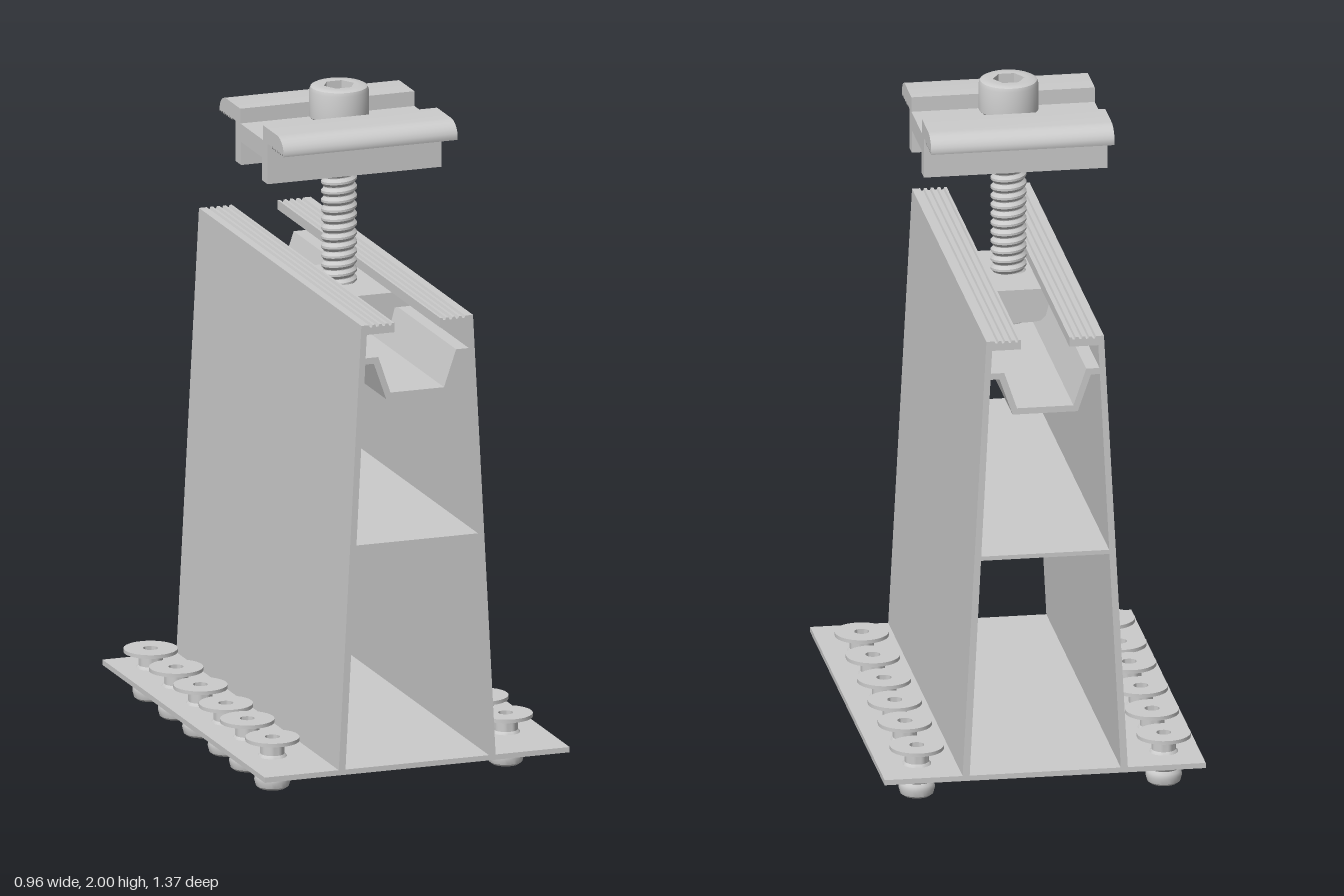
import * as THREE from 'three';
import { toCreasedNormals } from 'three/addons/utils/BufferGeometryUtils.js';

const material = new THREE.MeshStandardMaterial({ color: 0xcccccc, side: THREE.DoubleSide });
const LENGTH = 1.37;
const BOLT_X = -0.01, BOLT_Z = 0.052;
const v2 = ([x, y]) => new THREE.Vector2(x, y);
const shapeOf = (pts) => new THREE.Shape(pts.map(v2));

function mesh(name, geometry, parent) {
  const m = new THREE.Mesh(geometry, material);
  m.name = name;
  parent.add(m);
  return m;
}

// Extrusion centred along z
function extrude(shape, depth, curveSegments = 16) {
  const g = new THREE.ExtrudeGeometry(shape, { depth, bevelEnabled: false, curveSegments });
  g.translate(0, 0, -depth / 2);
  return toCreasedNormals(g, 0.6);
}

const lathe = (pts, segments = 32) =>
  toCreasedNormals(new THREE.LatheGeometry(pts.map(v2), segments), 0.6);

// Closed outline symmetric about x = 0, from its right half (top to bottom)
const symmetric = (half) =>
  shapeOf([...half, ...half.slice().reverse().map(([x, y]) => [-x, y])]);

const rivetSpots = [
  ...[-0.56, -0.345, -0.14, 0.075, 0.255, 0.467].map((z) => [-0.373, z]),
  ...[-0.552, -0.335, -0.148, 0.05, 0.255, 0.46].map((z) => [0.361, z]),
];

function buildRail(root) {
  const rail = new THREE.Group();
  rail.name = 'rail';
  root.add(rail);

  // Base plate with rivet holes
  const plate = shapeOf([[-0.478, -LENGTH / 2], [0.478, -LENGTH / 2], [0.478, LENGTH / 2], [-0.478, LENGTH / 2]]);
  for (const [x, z] of rivetSpots) {
    const hole = new THREE.Path();
    hole.absarc(x, -z, 0.034, 0, Math.PI * 2, true);
    plate.holes.push(hole);
  }
  const base = mesh('basePlate', extrude(plate, 0.016), rail);
  base.rotation.x = -Math.PI / 2;
  base.position.y = 0.088;

  // Leaning walls, each with a grooved top flange turned inward
  const grooves = [];
  for (const x of [0.145, 0.125, 0.105, 0.085]) {
    grooves.push([x + 0.006, 1.445], [x + 0.003, 1.438], [x - 0.003, 1.438], [x - 0.006, 1.445]);
  }
  const wall = [
    [0.246, 0.094], [0.175, 1.445], ...grooves, [0.072, 1.445], [0.072, 1.416],
    [0.158, 1.416], [0.162, 1.34], [0.225, 0.094],
  ];
  for (const side of [-1, 1]) {
    const pts = wall.map(([x, y]) => [x * side, y]);
    mesh(side < 0 ? 'rightWall' : 'leftWall', extrude(shapeOf(pts), LENGTH), rail);
  }

  // Channel trough and middle web
  const trough = shapeOf([
    [-0.166, 1.345], [-0.122, 1.345], [-0.084, 1.233], [0.084, 1.233], [0.122, 1.345], [0.166, 1.345],
    [0.168, 1.326], [0.136, 1.326], [0.097, 1.214], [-0.097, 1.214], [-0.136, 1.326], [-0.168, 1.326],
  ]);
  mesh('channelTrough', extrude(trough, LENGTH), rail);
  const web = mesh('middleWeb', new THREE.BoxGeometry(0.395, 0.013, LENGTH), rail);
  web.position.y = 0.77;
}

function buildRivets(root) {
  // Hollow rivet: wide head, stem, bulged foot
  const geometry = lathe([
    [0.022, 0], [0.04, 0], [0.049, 0.007], [0.054, 0.025], [0.052, 0.038], [0.046, 0.046],
    [0.053, 0.056], [0.054, 0.07], [0.048, 0.081], [0.042, 0.098], [0.036, 0.104],
    [0.036, 0.143], [0.08, 0.143], [0.08, 0.154], [0.022, 0.154], [0.022, 0],
  ]);
  for (const [x, z] of rivetSpots) mesh('rivet', geometry, root).position.set(x, 0, z);
}

function buildClamp(root) {
  // Half profile: raised web, rounded wing, toothed underside, leg
  const half = [[0.095, 1.88], [0.095, 1.925], [0.215, 1.925]];
  for (let i = 1; i <= 6; i++) {
    const a = (i / 6) * Math.PI / 2;
    half.push([0.215 + 0.055 * Math.sin(a), 1.88 + 0.045 * Math.cos(a)]);
  }
  for (let i = 0; i < 8; i++) {
    const z = 0.27 - i * 0.014;
    half.push([z - 0.002, 1.872], [z - 0.012, 1.88]);
  }
  half.push([0.135, 1.877], [0.135, 1.755], [0.088, 1.755], [0.088, 1.825]);
  const clamp = mesh('clamp', extrude(symmetric(half), 0.546), root);
  clamp.rotation.y = Math.PI / 2;
  clamp.position.set(-0.008, 0, 0.044);
}

function buildBolt(root) {
  const bolt = new THREE.Group();
  bolt.name = 'bolt';
  bolt.position.set(BOLT_X, 0, BOLT_Z);
  root.add(bolt);

  // Round head with hexagonal socket
  mesh('head', lathe([
    [0, 1.9], [0.082, 1.9], [0.088, 1.906], [0.088, 1.985], [0.084, 1.996], [0.076, 2],
    [0.055, 2], [0.055, 1.945], [0, 1.945],
  ], 48), bolt);
  const ring = new THREE.Shape();
  ring.absarc(0, 0, 0.056, 0, Math.PI * 2);
  const hex = [];
  for (let i = 0; i < 6; i++) hex.push(v2([0.047 * Math.cos(i * Math.PI / 3), 0.047 * Math.sin(i * Math.PI / 3)]));
  ring.holes.push(new THREE.Path(hex));
  const socket = mesh('hexSocket', extrude(ring, 0.055, 24), bolt);
  socket.rotation.x = -Math.PI / 2;
  socket.position.y = 1.9725;

  // Core, and a thread made by shearing a ridged lathe into a helix
  const core = mesh('core', new THREE.CylinderGeometry(0.045, 0.045, 0.65, 24), bolt);
  core.position.y = 1.575;
  const pitch = 0.028, low = 1.25, pts = [];
  for (let y = low - pitch; y < 1.86; y += pitch) {
    pts.push([0.044, y], [0.053, y + pitch * 0.38], [0.053, y + pitch * 0.62]);
  }
  const thread = new THREE.LatheGeometry(pts.map(v2), 24);
  const p = thread.attributes.position, uv = thread.attributes.uv;
  for (let i = 0; i < p.count; i++) p.setY(i, Math.max(low, p.getY(i) + uv.getX(i) * pitch));
  mesh('thread', toCreasedNormals(thread, 0.6), bolt);
}

function buildNut(root) {
  // Sliding nut held under the flanges
  const profile = symmetric([
    [0.152, 1.402], [0.152, 1.362], [0.146, 1.356], [0.1, 1.356],
    [0.09, 1.318], [0.074, 1.303], [0.05, 1.3],
  ]);
  mesh('slidingNut', extrude(profile, 0.36), root).position.set(-0.002, 0, BOLT_Z);
}

export function createModel() {
  const root = new THREE.Group();
  root.name = 'railWithClamp';
  buildRail(root);
  buildRivets(root);
  buildClamp(root);
  buildBolt(root);
  buildNut(root);
  return root;
}
